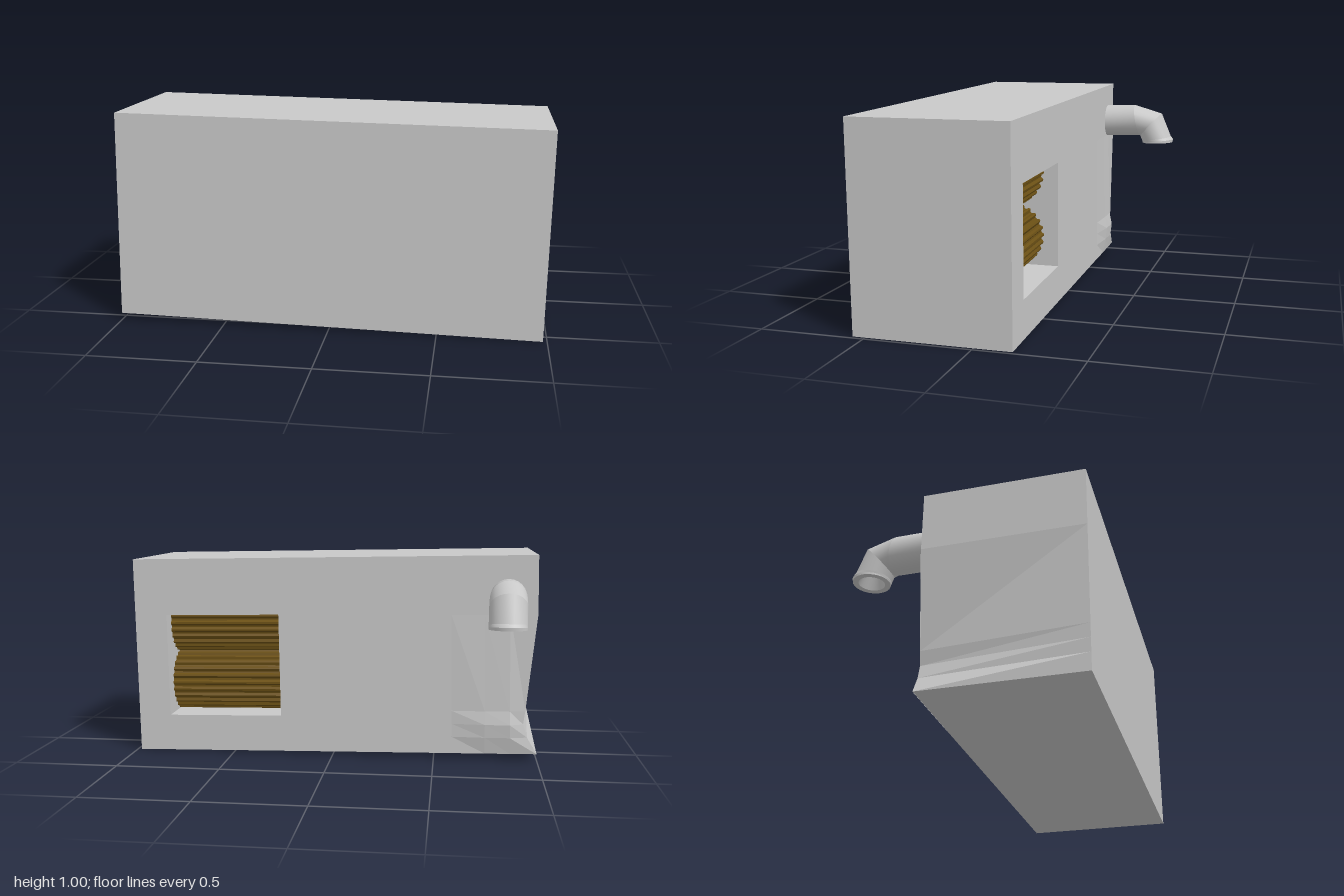
import * as THREE from 'three';

const W = 0.99, H = 0.4825, FRONT = 0.56, BACK = -0.175;
const WIN = { x0: 0.265, x1: 0.83, y0: -0.303, y1: 0.204, depth: 0.38 };

// Surface through rows of points
function loft(rows, closed, flat) {
  const n = rows[0].length, pos = rows.flat(2), idx = [];
  for (let r = 0; r < rows.length - 1; r++) {
    for (let i = 0; i < (closed ? n : n - 1); i++) {
      const j = (i + 1) % n, a = r * n + i, b = r * n + j, c = a + n, d = b + n;
      idx.push(a, b, d, a, d, c);
    }
  }
  let g = new THREE.BufferGeometry();
  g.setAttribute('position', new THREE.Float32BufferAttribute(pos, 3));
  g.setIndex(idx);
  if (flat) g = g.toNonIndexed();
  g.computeVertexNormals();
  return g;
}

export function createModel() {
  const grey = new THREE.MeshStandardMaterial({ color: 0xc8c8c8, side: THREE.DoubleSide });
  grey.name = 'casing grey';
  const brown = new THREE.MeshStandardMaterial({ color: 0x6b5015 });
  brown.name = 'roller brown';

  const model = new THREE.Group();
  // Whole casing leans about one degree
  const casing = new THREE.Group();
  casing.name = 'casing';
  casing.position.y = 0.5;
  casing.rotation.z = -0.0176;
  model.add(casing);

  const add = (parent, name, geo, mat = grey) => {
    const m = new THREE.Mesh(geo, mat);
    m.name = name;
    parent.add(m);
    return m;
  };
  const quad = (a, b, c, d) => loft([[a, b], [d, c]], false, true);

  // Plain panels
  add(casing, 'frontPanel', quad([-W, -H, FRONT], [W, -H, FRONT], [W, H, FRONT], [-W, H, FRONT]));
  add(casing, 'topPanel', quad([-W, H, FRONT], [W, H, FRONT], [W, H, BACK], [-W, H, BACK]));
  add(casing, 'bottomPanel', quad([-W, -H, BACK], [W, -H, BACK], [W, -H, FRONT], [-W, -H, FRONT]));
  add(casing, 'leftPanel', quad([W, -H, FRONT], [W, -H, BACK], [W, H, BACK], [W, H, FRONT]));

  // Right panel, pinched in along its rear edge
  const edge = [[-W, H], [-W, 0.2], [-0.934, -0.27], [-0.924, -0.335], [-0.943, -0.4], [-W, -H]];
  add(casing, 'rightPanel', loft([
    edge.map(([, y]) => [-W, y, FRONT]),
    edge.map(([x, y]) => [x, y, BACK]),
  ], false, true));

  // Back panel with the window opening (drawn mirrored, then turned round)
  const back = new THREE.Shape();
  back.moveTo(-W, -H);
  back.lineTo(-W, H);
  edge.forEach(([x, y]) => back.lineTo(-x, y));
  const hole = new THREE.Path();
  hole.moveTo(-WIN.x0, WIN.y0);
  hole.lineTo(-WIN.x0, WIN.y1);
  hole.lineTo(-WIN.x1, WIN.y1);
  hole.lineTo(-WIN.x1, WIN.y0);
  hole.closePath();
  back.holes.push(hole);
  add(casing, 'backPanel', new THREE.ShapeGeometry(back).rotateY(Math.PI).translate(0, 0, BACK));

  // Shallow bulge at the foot of the back panel
  const bulge = edge.slice(1).map(([ex, y], r) => {
    const amp = [0, 0.012, 0.025, 0.018, 0][r];
    return [[-0.58, 0], [-0.74, 0.85], [-0.86, 1], [ex, 0]]
      .map(([x, f]) => [x, y, BACK - 0.001 - amp * f]);
  });
  add(casing, 'backBulge', loft(bulge, false, true));

  // Window recess
  const rect = (z) => [[WIN.x0, WIN.y0, z], [WIN.x1, WIN.y0, z], [WIN.x1, WIN.y1, z], [WIN.x0, WIN.y1, z]];
  const deep = BACK + WIN.depth;
  add(casing, 'recessWalls', loft([rect(BACK), rect(deep)], true, true));
  add(casing, 'recessBack', quad(...rect(deep)));

  // Pair of fluted rollers, meeting in the middle of the recess
  const teeth = 26;
  for (const [name, y] of [['upperRoller', 0.15], ['lowerRoller', -0.155]]) {
    const s = new THREE.Shape();
    for (let i = 0; i < teeth * 4; i++) {
      const a = (i / (teeth * 4)) * Math.PI * 2, r = i % 4 < 2 ? 0.155 : 0.143;
      s[i ? 'lineTo' : 'moveTo'](Math.cos(a) * r, Math.sin(a) * r);
    }
    s.closePath();
    const len = WIN.x1 - WIN.x0 + 0.02;
    const g = new THREE.ExtrudeGeometry(s, { depth: len, bevelEnabled: false });
    g.rotateY(Math.PI / 2);
    add(casing, name, g, brown).position.set(WIN.x0 - 0.01, y, BACK + 0.225);
  }

  // Elbow pipe: each ring spans an outer and an inner point given as [z, y]
  const ring = ([z0, y0], [z1, y1], rx = 0.087) => {
    const cz = (z0 + z1) / 2, cy = (y0 + y1) / 2, cx = -0.854 - 0.052 * cz;
    return Array.from({ length: 24 }, (_, i) => {
      const a = (i / 24) * Math.PI * 2, c = Math.cos(a) / 2;
      return [cx + Math.sin(a) * rx, cy + c * (y0 - y1), cz + c * (z0 - z1)];
    });
  };
  const rings = [
    ring([-0.16, 0.885], [-0.16, 0.71]),
    ring([-0.335, 0.89], [-0.37, 0.716]),
    ring([-0.49, 0.845], [-0.372, 0.714]),
    ring([-0.545, 0.715], [-0.382, 0.69]),
    ring([-0.558, 0.7], [-0.383, 0.684]),
    ring([-0.556, 0.684], [-0.385, 0.678]),
    ring([-0.53, 0.683], [-0.41, 0.679], 0.06),
    ring([-0.49, 0.77], [-0.42, 0.74], 0.035),
    ring([-0.455, 0.755], [-0.455, 0.755], 0.001),
  ];
  const pipe = new THREE.Group();
  pipe.name = 'elbowPipe';
  model.add(pipe);
  const names = ['pipeRun', 'pipeElbow', 'pipeDrop', 'pipeFlare', 'pipeLip', 'pipeRim', 'pipeBore', 'pipePlug'];
  names.forEach((name, i) => add(pipe, name, loft([rings[i + 1], rings[i]], true, false)));

  return model;
}
